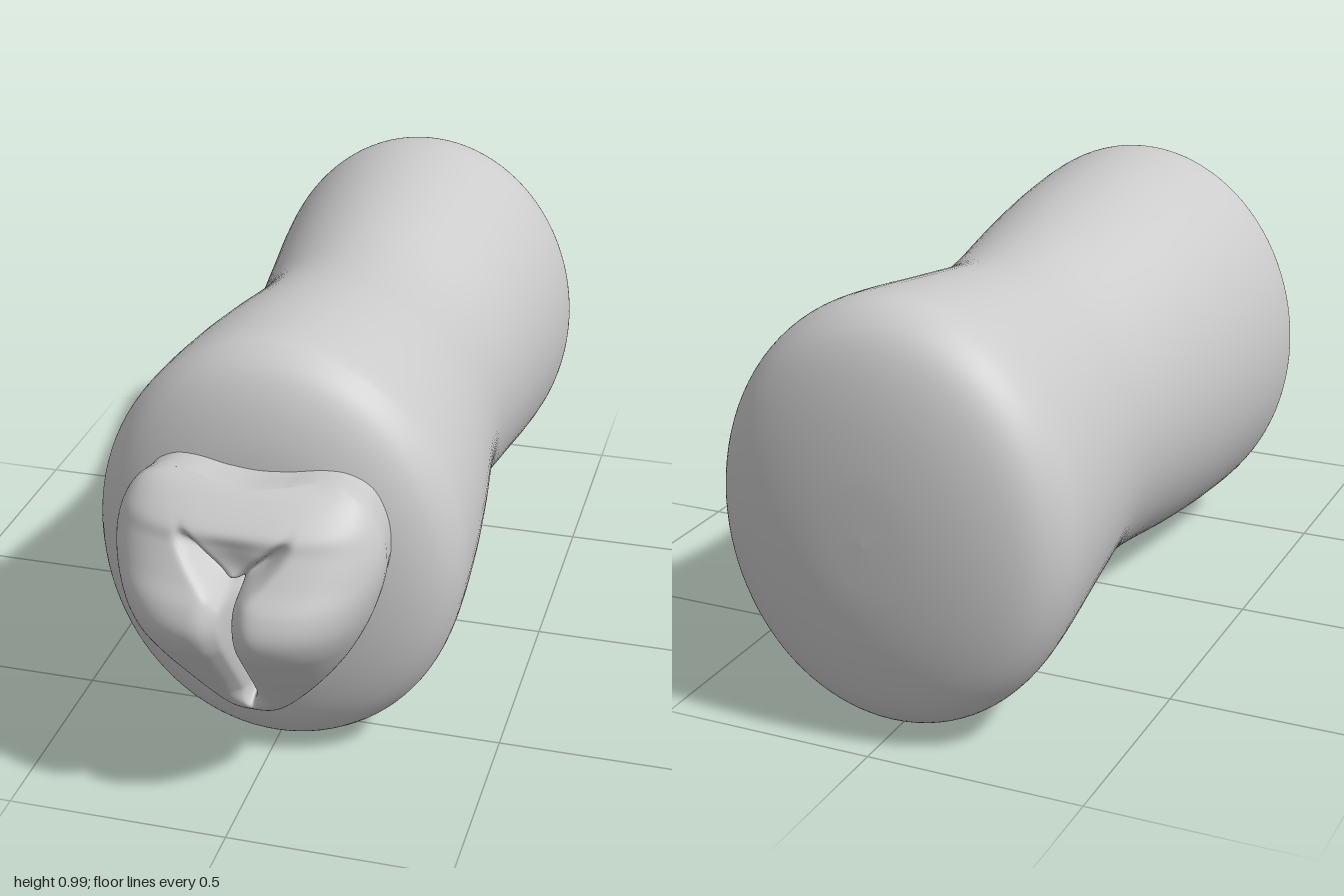
import * as THREE from 'three';

const { smoothstep, lerp } = THREE.MathUtils;
const vec2s = (list) => list.map(([a, b]) => new THREE.Vector2(a, b));

// Smooth lookup through a few [input, output] points
function lookup(list) {
  const pts = new THREE.SplineCurve(vec2s(list)).getPoints(200);
  return (v) => {
    if (v <= pts[0].x) return pts[0].y;
    for (let i = 1; i < pts.length; i++) {
      if (v <= pts[i].x) {
        const k = (v - pts[i - 1].x) / Math.max(1e-6, pts[i].x - pts[i - 1].x);
        return lerp(pts[i - 1].y, pts[i].y, k);
      }
    }
    return pts[pts.length - 1].y;
  };
}

// Waisted oval body, turned along z
function makeBody(material) {
  const profile = vec2s([
    [0, -1], [0.13, -0.995], [0.25, -0.975], [0.34, -0.94], [0.39, -0.89], [0.411, -0.82],
    [0.403, -0.7], [0.375, -0.48], [0.35, -0.25], [0.36, -0.06], [0.39, 0.17],
    [0.41, 0.36], [0.42, 0.54], [0.407, 0.6], [0.37, 0.65], [0.3, 0.69], [0.2, 0.715], [0, 0.73],
  ]);
  const geometry = new THREE.LatheGeometry(new THREE.SplineCurve(profile).getPoints(110), 96);
  geometry.rotateX(Math.PI / 2);
  geometry.scale(1, 1.178, 1);
  geometry.translate(0, 0.495, 0);
  const mesh = new THREE.Mesh(geometry, material);
  mesh.name = 'body';
  return mesh;
}

// Right half of the front relief's outline, bottom to top
const half = [
  [0, 0.167], [0.06, 0.185], [0.12, 0.24], [0.18, 0.315], [0.23, 0.395], [0.272, 0.49],
  [0.295, 0.59], [0.285, 0.67], [0.25, 0.735], [0.2, 0.764], [0.15, 0.77], [0.07, 0.762], [0, 0.758],
];
const widthAt = lookup(half.slice(0, 11).map(([x, y]) => [y, x]));
const ridgeAt = lookup([
  [0.167, 0.74], [0.2, 0.795], [0.3, 0.872], [0.4, 0.95], [0.45, 0.985], [0.5, 1],
  [0.55, 0.988], [0.6, 0.955], [0.66, 0.92], [0.7, 0.9], [0.75, 0.835], [0.77, 0.78],
]);

// Relief surface: rounded mound, minus a vertical slit and a V-shaped fold
function reliefHeight(x, y) {
  const ax = Math.abs(x);
  const edge = lerp(0.74, 0.78, smoothstep(y, 0.167, 0.5));
  const t = Math.min(1, ax / Math.max(0.001, widthAt(y)));
  let z = edge + (ridgeAt(y) - edge) * Math.pow(1 - Math.pow(t, 3.2), 0.6);

  const slit = smoothstep(y, 0.2, 0.26) * (1 - smoothstep(y, 0.55, 0.6));
  z -= slit * (0.04 * Math.exp(-((x / 0.035) ** 2)) + 0.09 * Math.exp(-((x / 0.008) ** 2)));

  const d = (y - 0.56 - ax) * 0.707;
  const tip = 1 - smoothstep(ax, 0.06, 0.135);
  z -= 0.06 * tip * Math.exp(-((d / 0.014) ** 2));
  z -= 0.045 * smoothstep(d, -0.015, 0.01) * Math.exp(-((x / 0.09) ** 2)) * (1 - smoothstep(y, 0.6, 0.7));
  return z;
}

// Heart-shaped front relief, built from rings plus a skirt sunk into the body
function makeRelief(material) {
  const left = half.slice(1, -1).reverse().map(([x, y]) => [-x, y]);
  const outline = new THREE.CatmullRomCurve3(
    [...half, ...left].map(([x, y]) => new THREE.Vector3(x, y, 0)), true);
  const segments = 220, rings = 84;
  const skirt = [[0.998, 0.02], [0.985, 0.045], [0.97, 0.075], [0.96, 0.12]];
  const rows = rings + 1 + skirt.length;
  const positions = [], index = [];

  // Columns crowd towards the centre line to resolve the slit
  const rim = [];
  for (let j = 0; j < segments; j++) {
    const a = (j / segments) * Math.PI * 2;
    const u = (a - 0.38 * Math.sin(2 * a)) / (Math.PI * 2);
    rim.push(outline.getPointAt(Math.max(0, u)));
  }
  for (let i = 0; i < rows; i++) {
    const [s, drop] = i <= rings ? [1 - Math.pow(1 - i / rings, 1.5), 0] : skirt[i - rings - 1];
    for (const p of rim) {
      const x = p.x * s, y = lerp(0.5, p.y, s);
      const z = drop ? reliefHeight(p.x, p.y) - drop : reliefHeight(x, y);
      positions.push(x, y, z);
    }
  }
  for (let i = 0; i < rows - 1; i++) {
    for (let j = 0; j < segments; j++) {
      const k = (j + 1) % segments;
      const a = i * segments + j, b = a + segments;
      const c = (i + 1) * segments + k, d = i * segments + k;
      index.push(a, b, c);
      if (i > 0) index.push(a, c, d);
    }
  }
  const geometry = new THREE.BufferGeometry();
  geometry.setAttribute('position', new THREE.Float32BufferAttribute(positions, 3));
  geometry.setIndex(index);
  geometry.computeVertexNormals();
  // The innermost ring is a single point, so share one normal there
  const normal = geometry.attributes.normal;
  for (let j = 0; j < segments; j++) normal.setXYZ(j, 0, 0, 1);
  const mesh = new THREE.Mesh(geometry, material);
  mesh.name = 'frontRelief';
  return mesh;
}

export function createModel() {
  const material = new THREE.MeshStandardMaterial({ color: 0xcccccc });
  const group = new THREE.Group();
  group.name = 'model';
  group.add(makeBody(material), makeRelief(material));
  return group;
}
